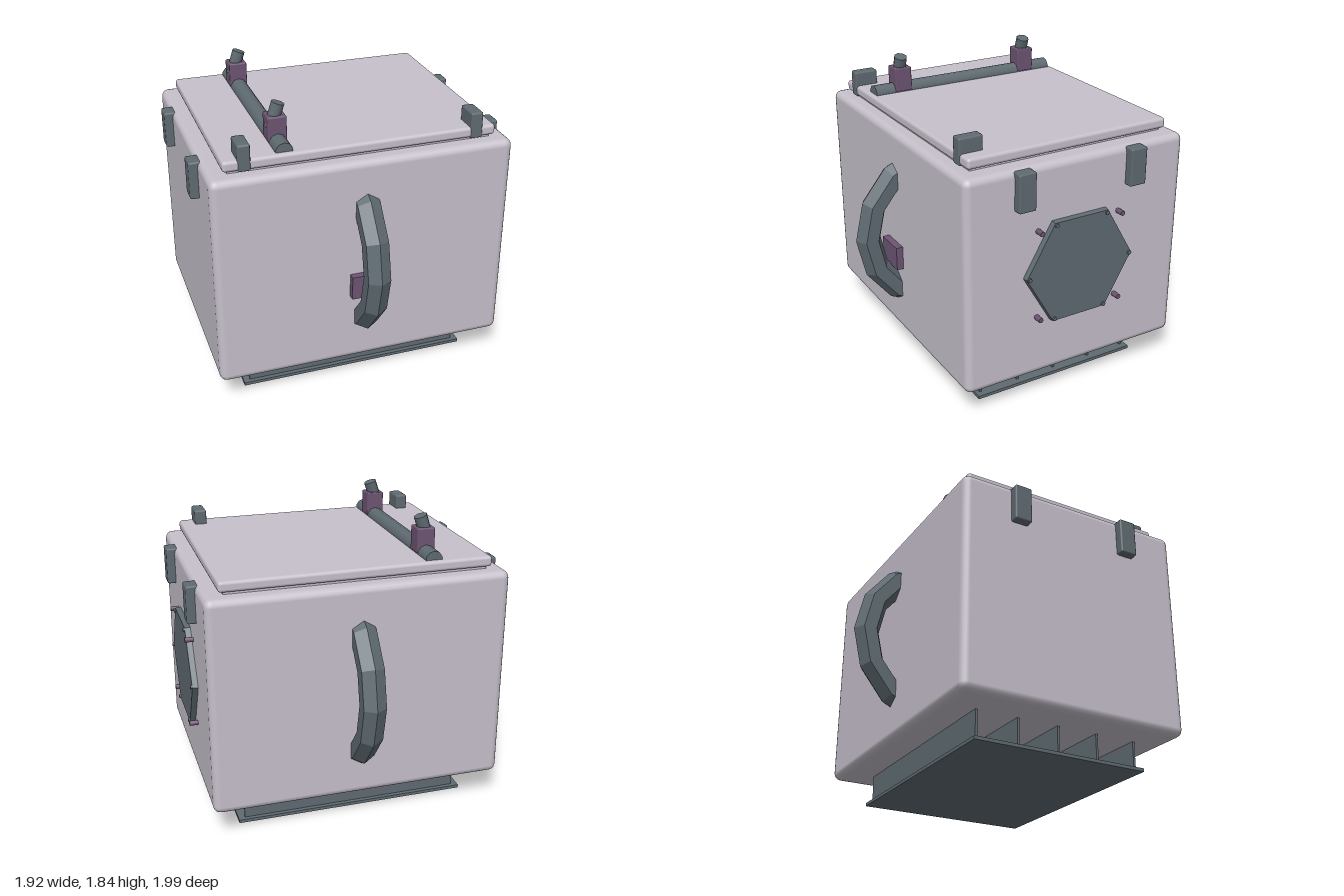
import * as THREE from 'three';
import { RoundedBoxGeometry } from 'three/addons/geometries/RoundedBoxGeometry.js';

const shell = new THREE.MeshStandardMaterial({ color: 0xc6c0cb });
shell.name = 'paleShell';
const steel = new THREE.MeshStandardMaterial({ color: 0x5f6b72 });
steel.name = 'darkSteel';
const accent = new THREE.MeshStandardMaterial({ color: 0x6d5573 });
accent.name = 'purpleAccent';

export function createModel() {
  const group = new THREE.Group();

  const add = (name, geometry, material, x, y, z) => {
    const mesh = new THREE.Mesh(geometry, material);
    mesh.name = name;
    mesh.position.set(x, y, z);
    group.add(mesh);
    return mesh;
  };
  const box = (w, h, d) => new THREE.BoxGeometry(w, h, d);
  const rounded = (w, h, d, r, s = 2) => new RoundedBoxGeometry(w, h, d, s, r);
  const flat = (geometry) => {
    const g = geometry.index ? geometry.toNonIndexed() : geometry;
    g.computeVertexNormals();
    return g;
  };

  // Main casing, seal and lid
  add('body', rounded(1.82, 1.34, 1.47, 0.045), shell, 0, 0.86, 0);
  add('lidSeal', box(1.58, 0.06, 1.28), shell, 0, 1.54, 0);
  add('lid', rounded(1.64, 0.065, 1.33, 0.02), shell, 0, 1.578, 0);

  // Base plate with cross fins
  add('basePlate', box(1.46, 0.02, 1.12), steel, 0, 0.01, 0);
  for (let i = -2; i <= 2; i++) {
    add('baseFin', box(1.38, 0.19, 0.014), steel, 0, 0.11, i * 0.263);
  }

  // Curved six-sided handles, front and back
  const arc = (6 / 14) * Math.PI * 2;
  const handle = new THREE.TorusGeometry(0.48, 0.08, 6, 6, arc);
  handle.rotateZ(-arc / 2);
  handle.rotateY(-Math.PI / 2);
  const handleGeometry = flat(handle);
  add('frontHandle', handleGeometry, steel, 0, 0.86, 0.437);
  add('backHandle', handleGeometry, steel, 0, 0.86, -0.437).rotation.y = Math.PI;
  add('frontLabelPlate', box(0.2, 0.15, 0.05), accent, 0, 0.725, 0.753);

  // Clips on the side walls and on the front of the lid
  for (const side of [-1, 1]) {
    for (const z of [-0.373, 0.373]) {
      add('sideClip', rounded(0.085, 0.23, 0.11, 0.01, 1), steel, side * 0.92, 1.405, z);
    }
    add('lidClip', rounded(0.075, 0.16, 0.15, 0.012, 1), steel, side * 0.697, 1.62, 0.595);
  }

  // Hexagonal hatch on the left wall
  const hatch = new THREE.CylinderGeometry(0.363, 0.37, 0.05, 6);
  hatch.rotateZ(-Math.PI / 2);
  add('hatch', flat(hatch), steel, 0.92, 0.86, 0);
  const bolt = new THREE.CylinderGeometry(0.013, 0.013, 0.06, 8);
  bolt.rotateZ(-Math.PI / 2);
  for (let i = 0; i < 6; i++) {
    const a = (i * Math.PI) / 3;
    add('hatchBolt', bolt, steel, 0.925, 0.86 + 0.347 * Math.sin(a), 0.347 * Math.cos(a));
  }
  const stud = new THREE.CylinderGeometry(0.016, 0.016, 0.07, 8);
  stud.rotateZ(-Math.PI / 2);
  for (const z of [-0.275, 0.275]) {
    for (const y of [-0.276, 0.276]) add('wallStud', stud, accent, 0.927, 0.86 + y, z);
  }

  // Rail on the lid with two valve blocks and tilted knobs
  const rail = new THREE.CylinderGeometry(0.053, 0.053, 1.27, 10);
  rail.rotateX(Math.PI / 2);
  add('lidRail', rail, steel, -0.46, 1.612, 0);
  const knob = new THREE.CylinderGeometry(0.041, 0.041, 0.15, 8);
  for (const z of [-0.45, 0.45]) {
    add('valveBlock', rounded(0.112, 0.15, 0.112, 0.008, 1), accent, -0.46, 1.69, z);
    add('valveKnob', knob, steel, -0.463, 1.759, z).rotation.z = -0.32;
  }

  return group;
}
